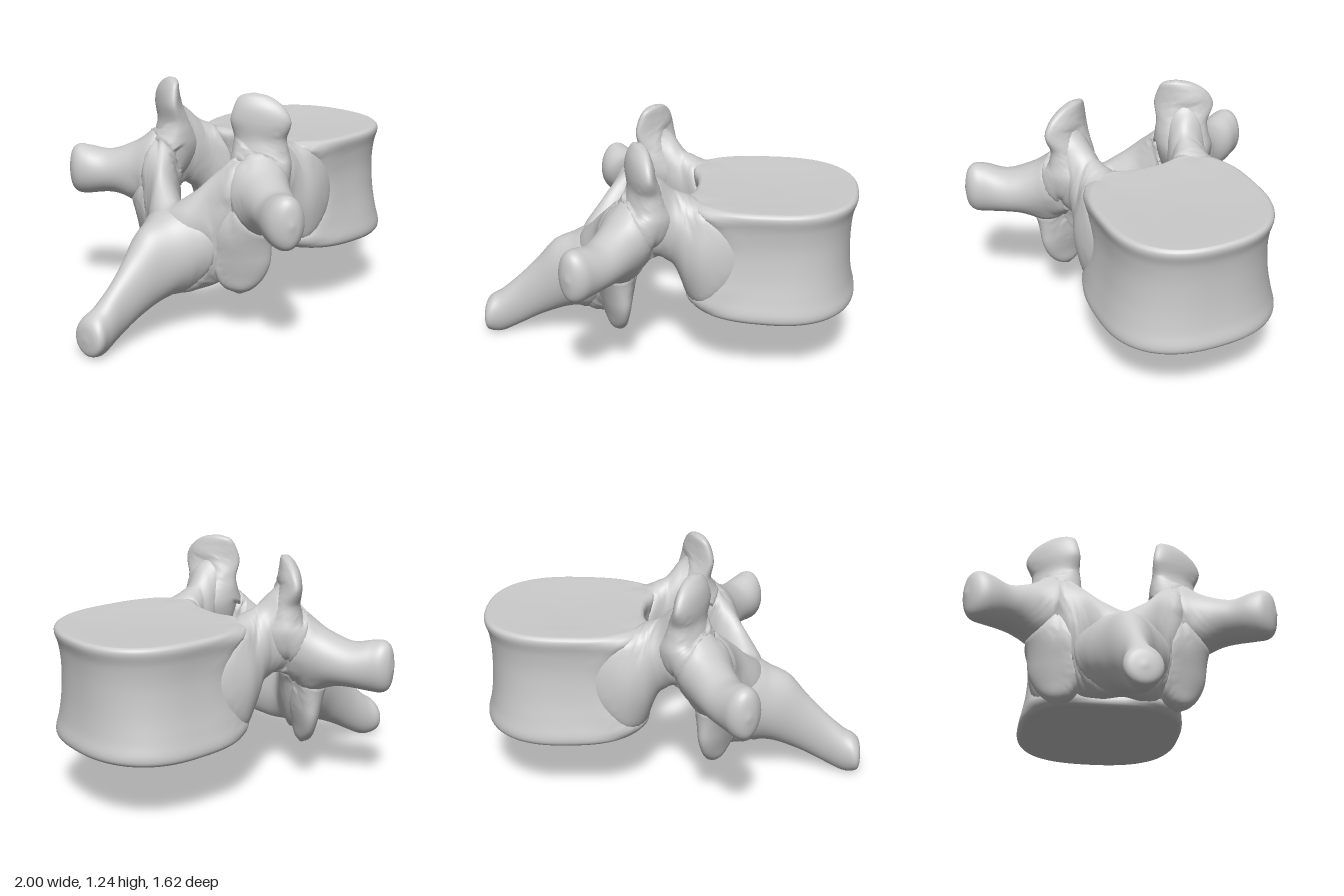
import * as THREE from 'three';

const X = new THREE.Vector3(1, 0, 0);
const Y = new THREE.Vector3(0, 1, 0);
const Z = new THREE.Vector3(0, 0, 1);
const material = new THREE.MeshStandardMaterial({ color: 0xcccccc });

// Smooth skin through stations [x, y, z, half size along u, half size along v];
// nPlus and nMinus set how square the +u and -u halves of the section are
function loft(stations, u, v, { sides = 44, steps = 7, nPlus = 2, nMinus = 2 } = {}) {
  const spline = (f) => new THREE.CatmullRomCurve3(stations.map(f), false, 'catmullrom', 0.5);
  const path = spline((s) => new THREE.Vector3(s[0], s[1], s[2]));
  const size = spline((s) => new THREE.Vector3(s[3], s[4], 0));
  const rows = (stations.length - 1) * steps;
  const positions = [], index = [];
  const addRing = (t, scale) => {
    const center = path.getPoint(t), r = size.getPoint(t);
    for (let j = 0; j < sides; j++) {
      const angle = (j / sides) * Math.PI * 2;
      const c = Math.cos(angle), s = Math.sin(angle), k = 2 / (c > 0 ? nPlus : nMinus);
      const p = center.clone()
        .addScaledVector(u, Math.sign(c) * Math.abs(c) ** k * Math.max(r.x, 0.002) * scale)
        .addScaledVector(v, Math.sign(s) * Math.abs(s) ** k * Math.max(r.y, 0.002) * scale);
      positions.push(p.x, p.y, p.z);
    }
  };
  addRing(0, 0);
  for (let i = 0; i <= rows; i++) addRing(i / rows, 1);
  addRing(1, 0);
  const flip = u.clone().cross(v).dot(path.getPoint(1).sub(path.getPoint(0))) < 0;
  for (let i = 0; i < rows + 2; i++) {
    for (let j = 0; j < sides; j++) {
      const a = i * sides + j, b = i * sides + (j + 1) % sides;
      const c = a + sides, d = b + sides;
      if (flip) index.push(a, c, b, b, c, d);
      else index.push(a, b, c, b, d, c);
    }
  }
  const geometry = new THREE.BufferGeometry();
  geometry.setAttribute('position', new THREE.Float32BufferAttribute(positions, 3));
  geometry.setIndex(index);
  geometry.computeVertexNormals();
  return geometry;
}

// Fillets the joints: vertices close to another part swell toward the shared corner
function blendJoints(geometries, radius) {
  const parts = geometries.map((g) => {
    const read = (name) => Array.from({ length: g.attributes.position.count },
      (_, i) => new THREE.Vector3().fromBufferAttribute(g.attributes[name], i));
    const points = read('position');
    return { points, normals: read('normal'), box: new THREE.Box3().setFromPoints(points).expandByScalar(radius) };
  });
  const offset = new THREE.Vector3();
  parts.forEach((part, k) => {
    part.points.forEach((p, i) => {
      const n = part.normals[i];
      let best = radius * radius, other = null;
      for (const near of parts) {
        if (near === part || !near.box.containsPoint(p)) continue;
        near.points.forEach((q, j) => {
          const d = p.distanceToSquared(q);
          if (d < best && offset.subVectors(q, p).dot(n) > -0.02) [best, other] = [d, near.normals[j]];
        });
      }
      if (!other) return;
      const gap = 1 - Math.sqrt(best) / radius;
      const push = 0.25 * radius * gap * gap * Math.min(1, 1 - n.dot(other));
      const way = n.clone().lerp(other, 0.5 * gap).normalize().multiplyScalar(push).add(p);
      geometries[k].attributes.position.setXYZ(i, way.x, way.y, way.z);
    });
    geometries[k].computeVertexNormals();
  });
}

// Block with a waist, raised rims, a bowed underside and a hollow rear wall
function bodyGeometry() {
  const geometry = loft([
    [0.56, 0.355, 0, 0.01, 0.01],
    [0.56, 0.35, 0, 0.22, 0.22],
    [0.56, 0.338, 0, 0.39, 0.40],
    [0.557, 0.343, 0, 0.43, 0.44],
    [0.555, 0.38, 0, 0.443, 0.452],
    [0.555, 0.46, 0, 0.425, 0.435],
    [0.555, 0.58, 0, 0.412, 0.412],
    [0.555, 0.72, 0, 0.41, 0.40],
    [0.555, 0.83, 0, 0.42, 0.408],
    [0.555, 0.90, 0, 0.44, 0.423],
    [0.557, 0.928, 0, 0.428, 0.41],
    [0.56, 0.932, 0, 0.39, 0.37],
    [0.56, 0.926, 0, 0.2, 0.2],
    [0.56, 0.922, 0, 0.01, 0.01],
  ], X, Z, { sides: 80, steps: 5, nPlus: 2.4, nMinus: 3.1 });
  const p = geometry.attributes.position;
  for (let i = 0; i < p.count; i++) {
    const x = p.getX(i), y = p.getY(i);
    const rear = Math.max(0, (0.35 - x) / 0.2);
    const middle = Math.max(0, 1 - (p.getZ(i) / 0.28) ** 2);
    const low = Math.max(0, (0.6 - y) / 0.25);
    p.setX(i, x + 0.045 * rear * middle * (1 - 0.6 * low));
    p.setY(i, y + 0.1 * low * (x - 0.7) ** 2);
  }
  geometry.computeVertexNormals();
  return geometry;
}

export function createModel() {
  const model = new THREE.Group();
  model.name = 'vertebra';

  const add = (name, geometry) => {
    const mesh = new THREE.Mesh(geometry, material);
    mesh.name = name;
    model.add(mesh);
  };

  // Same part on both sides of the middle plane, with faces turned outward
  const addPair = (name, geometry) => {
    add(name + 'Left', geometry);
    const other = geometry.clone().scale(1, 1, -1);
    const idx = other.index.array;
    for (let i = 0; i < idx.length; i += 3) [idx[i], idx[i + 1]] = [idx[i + 1], idx[i]];
    other.computeVertexNormals();
    add(name + 'Right', other);
  };

  add('body', bodyGeometry());

  // Bridges from the body to the arch, rising into the upright blades
  addPair('pedicle', loft([
    [0.46, 0.65, 0.25, 0.20, 0.11],
    [0.32, 0.65, 0.27, 0.255, 0.145],
    [0.22, 0.655, 0.275, 0.275, 0.155],
    [0.14, 0.695, 0.27, 0.25, 0.135],
    [0.07, 0.79, 0.28, 0.20, 0.10],
    [0.0, 0.855, 0.31, 0.205, 0.10],
    [-0.07, 0.86, 0.325, 0.225, 0.105],
    [-0.13, 0.80, 0.32, 0.18, 0.10],
    [-0.19, 0.74, 0.31, 0.10, 0.07],
  ], Y, Z));

  // Upright and hanging joint blades share one diagonal plane
  const wide = new THREE.Vector3(0.48, 0, 0.877).normalize();
  const thin = new THREE.Vector3(0.877, 0, -0.48).normalize();
  addPair('superiorArticularProcess', loft([
    [-0.10, 0.68, 0.32, 0.06, 0.06],
    [-0.08, 0.77, 0.33, 0.12, 0.10],
    [-0.07, 0.87, 0.325, 0.145, 0.115],
    [-0.075, 0.95, 0.315, 0.14, 0.09],
    [-0.085, 1.02, 0.318, 0.135, 0.065],
    [-0.10, 1.10, 0.335, 0.155, 0.05],
    [-0.10, 1.17, 0.325, 0.13, 0.045],
    [-0.10, 1.22, 0.30, 0.08, 0.03],
    [-0.10, 1.237, 0.29, 0.01, 0.01],
  ], wide, thin));
  addPair('inferiorArticularProcess', loft([
    [-0.17, 0.80, 0.31, 0.08, 0.07],
    [-0.20, 0.68, 0.31, 0.11, 0.09],
    [-0.23, 0.55, 0.325, 0.14, 0.08],
    [-0.22, 0.42, 0.335, 0.14, 0.065],
    [-0.22, 0.32, 0.325, 0.115, 0.05],
    [-0.22, 0.25, 0.31, 0.07, 0.04],
    [-0.215, 0.212, 0.30, 0.01, 0.01],
  ], wide, thin));

  // Wings reaching out and back, ending in a blunt knob
  addPair('transverseProcess', loft([
    [-0.12, 0.76, 0.28, 0.12, 0.09],
    [-0.165, 0.75, 0.37, 0.18, 0.135],
    [-0.21, 0.73, 0.48, 0.145, 0.125],
    [-0.275, 0.71, 0.60, 0.118, 0.115],
    [-0.34, 0.712, 0.69, 0.132, 0.105],
    [-0.37, 0.715, 0.745, 0.134, 0.09],
    [-0.385, 0.715, 0.78, 0.10, 0.055],
    [-0.39, 0.715, 0.797, 0.01, 0.01],
  ], Y, new THREE.Vector3(0.86, 0, 0.51)));

  // Curved plate closing the canal behind, highest at its sides
  const side = (s) => [
    [-0.16, 0.76, 0.38 * s, 0.12, 0.08],
    [-0.205, 0.68, 0.29 * s, 0.22, 0.11],
    [-0.255, 0.57, 0.20 * s, 0.28, 0.115],
    [-0.33, 0.48, 0.11 * s, 0.265, 0.12],
  ];
  add('lamina', loft(
    [...side(-1), [-0.38, 0.44, 0, 0.23, 0.11], ...side(1).reverse()], Y, X));

  // Long blade sloping down and back from the lamina
  add('spinousProcess', loft([
    [-0.29, 0.50, 0, 0.12, 0.18],
    [-0.35, 0.465, 0, 0.195, 0.225],
    [-0.42, 0.43, 0, 0.215, 0.20],
    [-0.50, 0.40, 0, 0.205, 0.16],
    [-0.60, 0.36, 0, 0.205, 0.115],
    [-0.70, 0.28, 0, 0.17, 0.085],
    [-0.80, 0.20, 0, 0.145, 0.07],
    [-0.90, 0.13, 0, 0.125, 0.08],
    [-0.96, 0.11, 0, 0.105, 0.095],
    [-0.99, 0.10, 0, 0.075, 0.075],
    [-1.0, 0.10, 0, 0.01, 0.01],
  ], Y, Z));

  blendJoints(model.children.map((mesh) => mesh.geometry), 0.16);
  return model;
}
